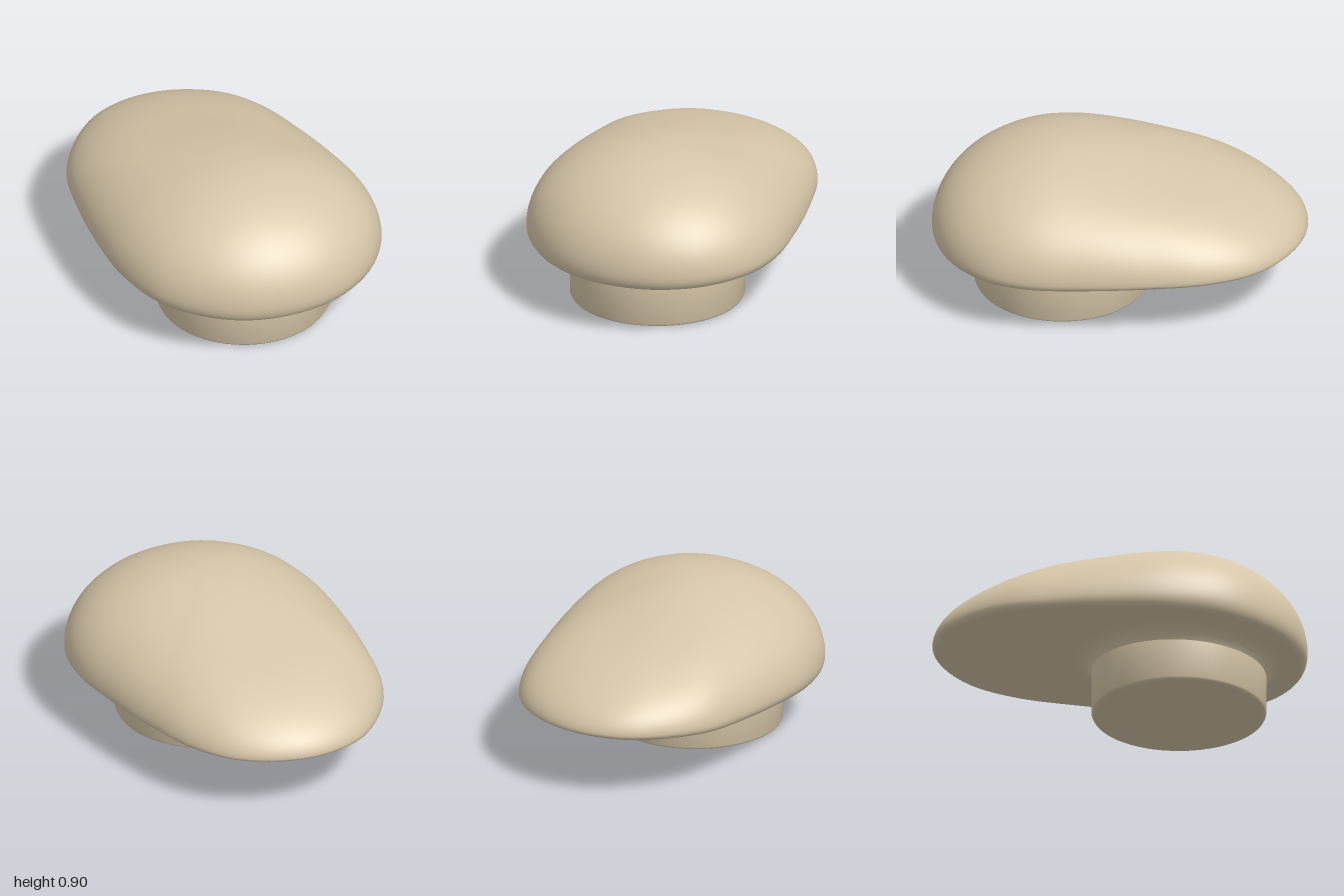
import * as THREE from 'three';
import { toCreasedNormals } from 'three/addons/utils/BufferGeometryUtils.js';

const SIDES = 96;
const CENTRE = { x: 0.1, z: 0.29 };
const STEM_RADIUS = 0.487;

// Plan outline of the cap at its widest level, [x, z] clockwise from above
const OUTLINE = [
  [-0.25, -1], [0.02, -0.955], [0.25, -0.8], [0.45, -0.56], [0.66, -0.25],
  [0.82, 0.05], [0.867, 0.3], [0.8, 0.58], [0.62, 0.81], [0.37, 0.95],
  [0.1, 0.998], [-0.15, 0.955], [-0.4, 0.82], [-0.6, 0.57], [-0.73, 0.27],
  [-0.82, -0.03], [-0.87, -0.3], [-0.83, -0.55], [-0.71, -0.79], [-0.5, -0.945],
];

// Each spoke runs from the centre to the outline; "tail" is 1 along the long back end
function makeSpokes() {
  const curve = new THREE.CatmullRomCurve3(
    OUTLINE.map(([x, z]) => new THREE.Vector3(x, 0, z)), true, 'centripetal');
  return curve.getSpacedPoints(SIDES).slice(0, SIDES).map((p) => {
    const dx = p.x - CENTRE.x, dz = p.z - CENTRE.z;
    const reach = Math.hypot(dx, dz);
    const along = (dx * -0.3 + dz * -0.954) / reach;
    return { dx: dx / reach, dz: dz / reach, reach, tail: Math.pow((1 + along) / 2, 5) };
  });
}

// Skin rings of [radius, height] profiles, one profile per spoke
function loft(spokes, profile) {
  const profiles = spokes.map(profile);
  const rings = profiles[0].length;
  const positions = [], index = [];
  for (let i = 0; i < rings; i++) {
    spokes.forEach((s, j) => {
      const [r, y] = profiles[j][i];
      positions.push(CENTRE.x + s.dx * r, y, CENTRE.z + s.dz * r);
    });
  }
  for (let i = 0; i < rings - 1; i++) {
    for (let j = 0; j < SIDES; j++) {
      const k = (j + 1) % SIDES;
      const a = i * SIDES + j, d = i * SIDES + k;
      const b = a + SIDES, c = d + SIDES;
      if (profiles[j][i + 1][0] > 0) index.push(a, c, b);
      if (profiles[j][i][0] > 0) index.push(a, d, c);
    }
  }
  const geometry = new THREE.BufferGeometry();
  geometry.setAttribute('position', new THREE.Float32BufferAttribute(positions, 3));
  geometry.setIndex(index);
  return toCreasedNormals(geometry, 0.7);
}

// Underside height: a plane rising towards the back, flaring down into the stem
function undersideY(spoke, r) {
  const z = CENTRE.z + spoke.dz * r;
  return 0.35 - 0.038 * z - 0.09 * Math.exp(-(r - STEM_RADIUS) / 0.05);
}

// Domed top, rolled rim and underside
function capProfile(spoke) {
  const { reach, tail } = spoke;
  const points = [];
  const rimY = 0.405 + 0.008 * tail;
  const power = 0.5 + 0.07 * tail;
  const steps = 28;
  for (let i = 0; i <= steps; i++) {
    const t = Math.sin((i / steps) * Math.PI / 2);
    const sag = 1 - 0.15 * tail * THREE.MathUtils.smoothstep(t, 0, 0.6);
    const dome = Math.pow(Math.max(0, 1 - t * t), power) * sag;
    points.push([reach * t, rimY + (0.9 - rimY) * dome]);
  }

  // Rounded lower rim
  const roll = 0.05;
  const edgeR = reach - roll;
  const edgeY = undersideY(spoke, edgeR);
  for (let i = 1; i <= 6; i++) {
    const a = (i / 6) * Math.PI / 2;
    points.push([reach - roll * (1 - Math.cos(a)), rimY + (edgeY - rimY) * Math.sin(a)]);
  }

  // Underside, with rings crowding towards the stem
  for (let i = 1; i <= 16; i++) {
    const r = STEM_RADIUS + (edgeR - STEM_RADIUS) * Math.pow(1 - i / 16, 2);
    points.push([r, undersideY(spoke, r)]);
  }
  return points;
}

// Straight stem with a small bevel and a flat base
function stemProfile(spoke) {
  return [
    [STEM_RADIUS, undersideY(spoke, STEM_RADIUS)], [STEM_RADIUS, 0.018],
    [STEM_RADIUS - 0.006, 0.007], [STEM_RADIUS - 0.022, 0], [0, 0],
  ];
}

export function createModel() {
  const group = new THREE.Group();
  group.name = 'knob';
  const beige = new THREE.MeshStandardMaterial({ color: 0xd6c6a8 });
  beige.name = 'beige';
  const spokes = makeSpokes();

  const cap = new THREE.Mesh(loft(spokes, capProfile), beige);
  cap.name = 'cap';
  const stem = new THREE.Mesh(loft(spokes, stemProfile), beige);
  stem.name = 'stem';
  group.add(cap, stem);
  return group;
}
